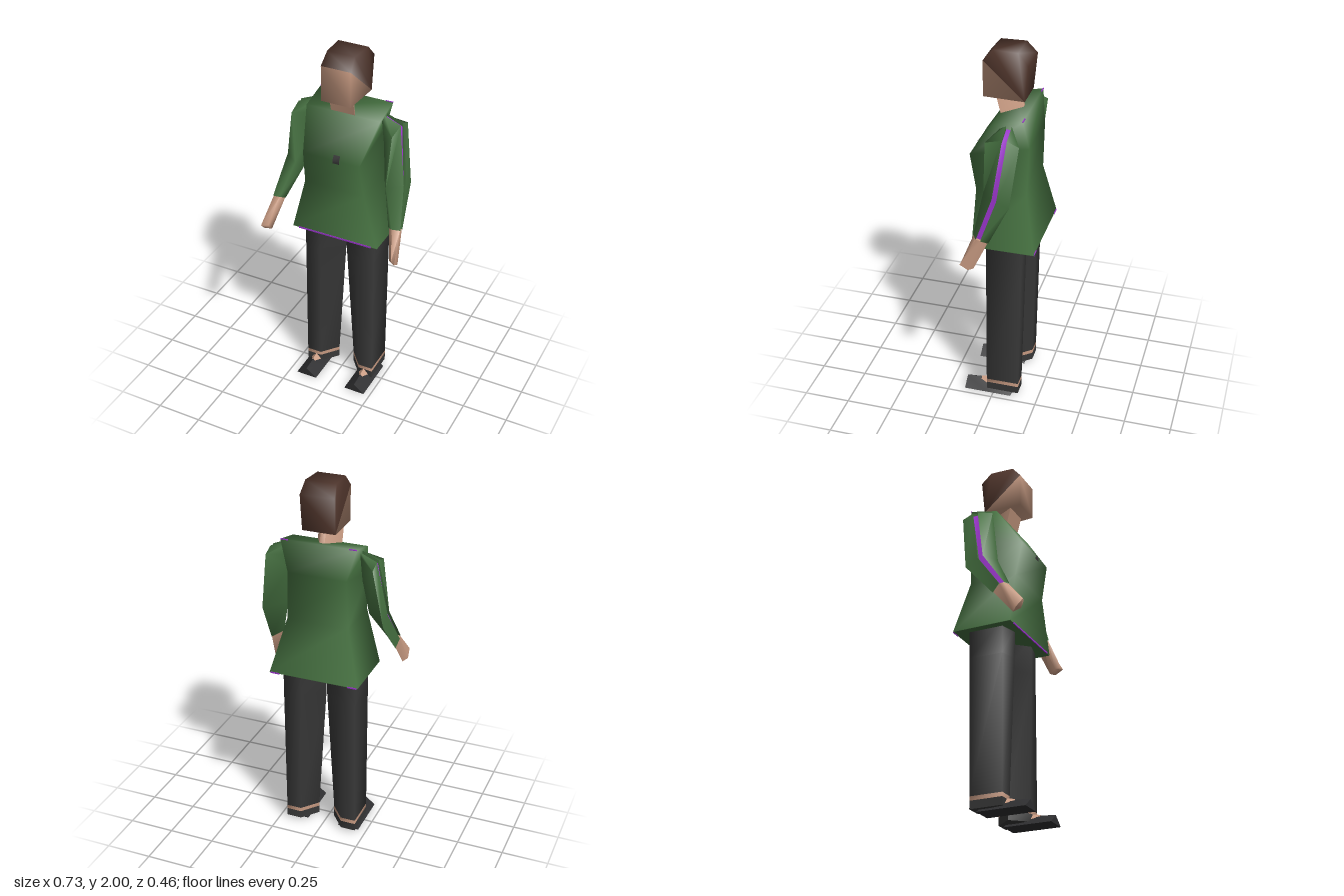
import * as THREE from 'three';
import { toCreasedNormals } from 'three/addons/utils/BufferGeometryUtils.js';

const paint = (name, color) => {
  const m = new THREE.MeshStandardMaterial({ color });
  m.name = name;
  return m;
};

// Skin between rings of points; rings run counter-clockwise seen from the last ring's end.
function loft(rings, { closed = true, first = true, last = true, crease = 1.0 } = {}) {
  const n = rings[0].length, pos = [];
  const tri = (...pts) => pts.forEach((p) => pos.push(...p));
  for (let i = 0; i < rings.length - 1; i++) {
    const lo = rings[i], hi = rings[i + 1];
    for (let j = 0; j < (closed ? n : n - 1); j++) {
      const k = (j + 1) % n;
      tri(lo[j], lo[k], hi[k]);
      tri(lo[j], hi[k], hi[j]);
    }
  }
  const a = rings[0], b = rings[rings.length - 1];
  for (let j = 1; j < n - 1; j++) {
    if (first) tri(a[0], a[j + 1], a[j]);
    if (last) tri(b[0], b[j], b[j + 1]);
  }
  const g = new THREE.BufferGeometry();
  g.setAttribute('position', new THREE.Float32BufferAttribute(pos, 3));
  return toCreasedNormals(g, crease);
}

// Four-cornered ring, front and back heights may differ
const rect = (x0, x1, zf, zb, yf, yb = yf) =>
  [[x0, yf, zf], [x1, yf, zf], [x1, yb, zb], [x0, yb, zb]];

export function createModel() {
  const model = new THREE.Group();
  const skin = paint('skin', 0xcb9d84);
  const hair = paint('hair brown', 0x4b3229);
  const green = paint('shirt green', 0x457040);
  const charcoal = paint('trouser charcoal', 0x383838);
  const black = paint('shoe black', 0x2e2e30);
  const purple = paint('trim purple', 0x9b35cc);

  const add = (name, geometry, material, parent = model) => {
    const mesh = new THREE.Mesh(geometry, material);
    mesh.name = name;
    parent.add(mesh);
    return mesh;
  };
  const openStrip = { closed: false, first: false, last: false, crease: 2.0 };

  // Shirt body: flared hem, narrow waist, full chest, square shoulders
  const hem = rect(-0.24, 0.25, 0.1, -0.23, 0.97);
  add('shirt', loft([
    hem,
    rect(-0.165, 0.17, 0.095, -0.17, 1.27),
    rect(-0.155, 0.16, 0.13, -0.178, 1.46, 1.53),
    rect(-0.2, 0.207, 0.0, -0.155, 1.66, 1.695),
  ], { first: false, crease: 2.2 }), green);
  add('shirtUnderside', loft([hem, rect(-0.24, 0.25, 0.1, -0.23, 0.972)], { last: false }), green);

  // Purple edging at the hem and the back corners of the shoulders
  const trim = (name, width, height, x, y, z) =>
    add(name, new THREE.BoxGeometry(width, height, 0.005), purple).position.set(x, y, z);
  trim('hemTrim', 0.42, 0.009, 0.005, 0.971, 0.1);
  for (const s of [-1, 1]) {
    trim('backHemTrim', 0.05, 0.007, s * 0.215 + 0.005, 0.971, -0.23);
    trim('collarTrim', 0.04, 0.005, s * 0.183 + 0.003, 1.695, -0.155);
  }
  // Small patch folded over the fullest line of the chest
  add('chestMark', loft([[1.442, 0.129], [1.461, 0.1325], [1.485, 0.117]].map(
    ([y, z]) => [[0.012, y, z], [0.048, y, z]]), openStrip), charcoal);

  // Head: a face wedge in front, hair wrapping the top and back
  const acrossX = (profile) => [0, 1].map((i) =>
    profile.map(([z, y, x0, x1]) => [i ? x1 : x0, y, z]));
  const brow = [0.08, 1.94, -0.075, 0.086], nape = [-0.135, 1.75, -0.08, 0.097];
  add('face', loft(acrossX([brow, [0.08, 1.75, -0.075, 0.086], nape]),
    { closed: false, crease: 1.65 }), skin);
  add('hair', loft(acrossX([
    nape, [-0.153, 1.94, -0.082, 0.1], [-0.1, 2.0, -0.072, 0.092], [0.03, 2.0, -0.066, 0.083], brow,
  ]), { closed: false, crease: 2.0 }), hair);
  const neckRing = (y, zf, zb) => [[-0.065, y, zf], [0.068, y, zf], [0.015, y, zb], [-0.012, y, zb]];
  add('neck', loft([neckRing(1.65, -0.008, -0.12), neckRing(1.76, 0.02, -0.085)], { crease: 1.3 }), skin);

  // Arm sections: inner, front, outer front, outer back, back; listed from shoulder to wrist
  const arms = {
    left: {
      sleeve: [
        [[0.2, 1.58, -0.07], [0.2, 1.645, -0.04], [0.2, 1.662, -0.071], [0.2, 1.662, -0.099], [0.2, 1.645, -0.105]],
        [[0.2, 1.5, -0.07], [0.28, 1.6, 0.015], [0.288, 1.625, -0.071], [0.288, 1.625, -0.099], [0.288, 1.6, -0.16]],
        [[0.22, 1.3, -0.045], [0.26, 1.31, 0.03], [0.333, 1.31, -0.03], [0.335, 1.31, -0.058], [0.333, 1.28, -0.122]],
        [[0.285, 1.08, 0.04], [0.315, 1.095, 0.068], [0.355, 1.085, 0.045], [0.355, 1.08, 0.021], [0.335, 1.06, -0.015]],
      ],
      hand: [
        [[0.288, 1.08, 0.04], [0.315, 1.092, 0.065], [0.352, 1.085, 0.043], [0.352, 1.08, 0.02], [0.335, 1.062, -0.012]],
        [[0.322, 0.92, 0.1], [0.342, 0.935, 0.125], [0.362, 0.925, 0.13], [0.362, 0.9, 0.085], [0.345, 0.905, 0.06]],
      ],
    },
    right: {
      sleeve: [
        [[-0.2, 1.58, -0.07], [-0.2, 1.645, -0.04], [-0.2, 1.662, -0.073], [-0.2, 1.662, -0.099], [-0.2, 1.645, -0.105]],
        [[-0.2, 1.5, -0.07], [-0.28, 1.6, 0.015], [-0.285, 1.625, -0.073], [-0.285, 1.625, -0.1], [-0.285, 1.6, -0.16]],
        [[-0.22, 1.3, -0.02], [-0.255, 1.32, 0.035], [-0.327, 1.33, -0.018], [-0.33, 1.32, -0.046], [-0.33, 1.28, -0.115]],
        [[-0.287, 1.125, 0.09], [-0.305, 1.145, 0.125], [-0.348, 1.135, 0.115], [-0.352, 1.13, 0.09], [-0.342, 1.09, 0.05]],
      ],
      hand: [
        [[-0.29, 1.125, 0.09], [-0.305, 1.142, 0.122], [-0.345, 1.135, 0.113], [-0.35, 1.13, 0.09], [-0.342, 1.093, 0.053]],
        [[-0.315, 0.985, 0.195], [-0.325, 1.015, 0.215], [-0.362, 1.01, 0.228], [-0.367, 0.97, 0.19], [-0.345, 0.957, 0.165]],
      ],
    },
  };
  for (const [side, { sleeve, hand }] of Object.entries(arms)) {
    const arm = new THREE.Group();
    arm.name = side + 'Arm';
    model.add(arm);
    const s = side === 'left' ? 1 : -1;
    const build = (name, rings, material, options) =>
      add(name, loft(s > 0 ? [...rings].reverse() : rings, options), material, arm);
    // The sleeve has a groove along its outer side with the stripe as its floor:
    // sunk downwards over the shoulder, inwards along the arm
    const sink = ([x, y, z], i) => (i < 2 ? [x - s * i * 0.004, y - 0.018, z] : [x - s * 0.016, y, z]);
    build('sleeve', sleeve.map((r) => [r[3], r[4], r[0], r[1], r[2]]), green, openStrip);
    build('grooveFront', sleeve.map((r, i) => [r[2], sink(r[2], i)]), green, openStrip);
    build('grooveBack', sleeve.map((r, i) => [sink(r[3], i), r[3]]), green, openStrip);
    build('sleeveStripe', sleeve.map((r, i) => [sink(r[2], i), sink(r[3], i)]), purple, openStrip);
    build('hand', hand, skin, { crease: 1.4 });
  }

  // Legs with a bare ankle band, a dark cuff and a ridged slip-on shoe
  for (const s of [-1, 1]) {
    const leg = new THREE.Group();
    leg.name = s > 0 ? 'leftLeg' : 'rightLeg';
    model.add(leg);
    // Section: flat outer side, tapering to an inner ridge
    const ring = (inner, cut, zf, zb, y, bevel = 0) => {
      const pts = [[cut, zf], [0.202, zf - bevel], [0.202, zb], [cut, zb], [inner, (zf + zb) / 2]]
        .map(([x, z]) => [s * x + 0.003, y, z]);
      return s > 0 ? pts : pts.reverse();
    };
    const hemRing = (y) => ring(0.045, 0.12, 0.038, -0.14, y);
    const tube = { first: false, last: false, crease: 1.8 };
    add('trouserLeg', loft([
      hemRing(0.085),
      ring(0.001, 0.105, 0.058, -0.153, 0.82, 0.022),
      ring(0, 0.1, 0.06, -0.155, 1.0, 0.025),
    ], tube), charcoal, leg);
    add('ankle', loft([hemRing(0.063), hemRing(0.085)], tube), skin, leg);
    add('trouserCuff', loft([hemRing(0.02), hemRing(0.063)], { last: false }), charcoal, leg);

    const cx = s * 0.15 + 0.005;
    const wedge = (z, w, y, h) => [[cx - w, y, z], [cx + w, y, z], [cx, h, z]];
    add('shoe', loft([
      wedge(-0.1, 0.06, 0, 0.04), wedge(0.03, 0.06, 0, 0.06), wedge(0.163, 0.06, 0, 0.047),
    ], { crease: 0.4 }), black, leg);
    add('instep', loft([
      wedge(0.02, 0.035, 0.03, 0.07), wedge(0.08, 0.012, 0.045, 0.058),
    ], { crease: 0.4 }), skin, leg);
  }
  return model;
}
